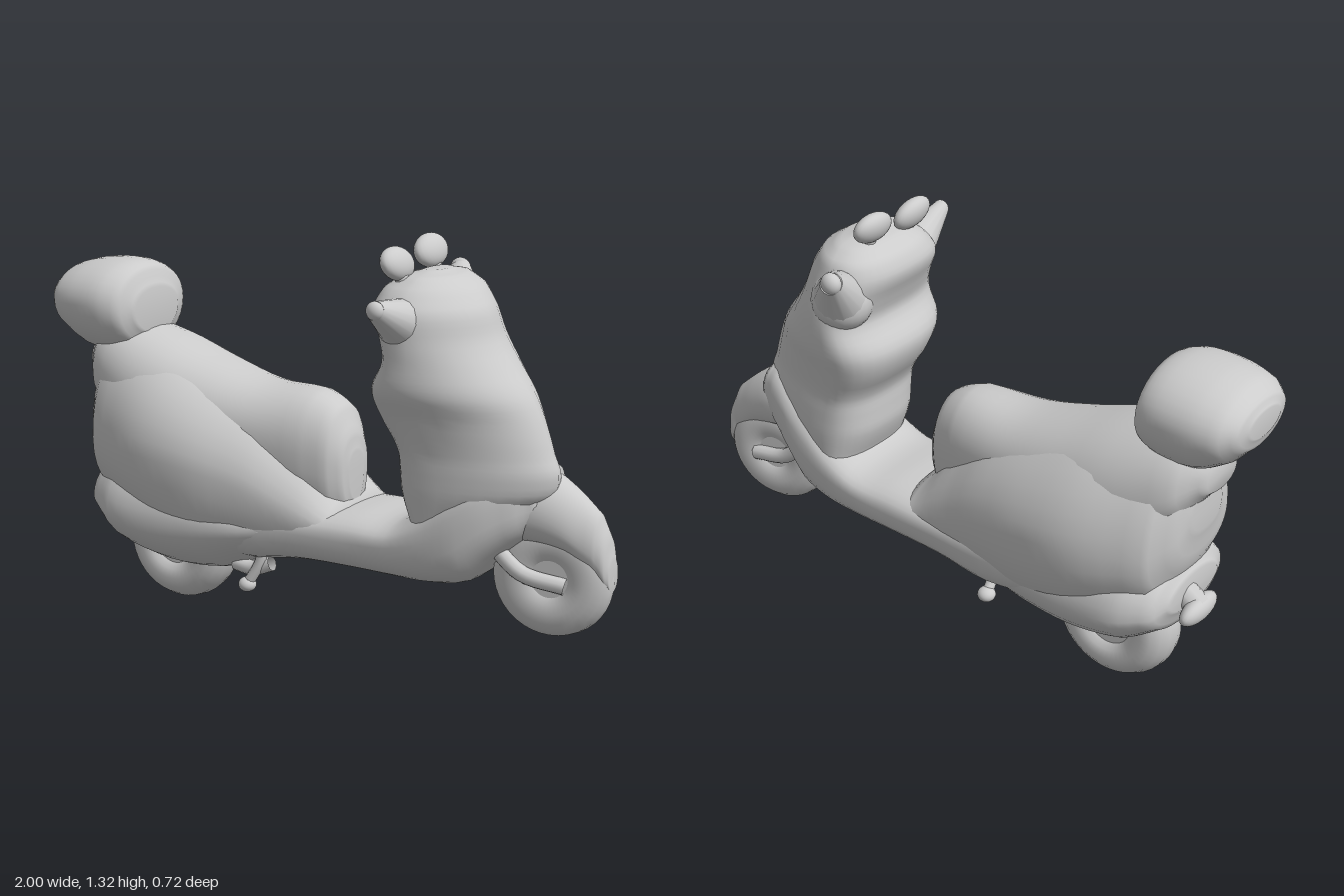
import * as THREE from 'three';

const material = new THREE.MeshStandardMaterial({ color: 0xcccccc, side: THREE.DoubleSide });

function add(group, name, geometry, pos = [0, 0, 0], rot = [0, 0, 0], scale = [1, 1, 1]) {
  const mesh = new THREE.Mesh(geometry, material);
  mesh.name = name;
  mesh.position.set(...pos);
  mesh.rotation.set(...rot);
  mesh.scale.set(...scale);
  group.add(mesh);
  return mesh;
}

// Loft of rounded sections, each [t, low, widest, high, zCentre, halfWidth].
// Along 'x' the section stands in y/z; along 'y' it lies in x/z.
function loft(sections, axis, nLow, nHigh, steps = 4, sides = 32) {
  const rows = [];
  const at = (i) => sections[Math.min(Math.max(i, 0), sections.length - 1)];
  for (let i = 0; i < sections.length - 1; i++) {
    for (let k = 0; k < steps; k++) {
      const u = k / steps;
      rows.push(at(i).map((b, c) => {
        const a = at(i - 1)[c], d = at(i + 1)[c], e = at(i + 2)[c];
        if (c === 0) return b + (d - b) * u;
        return b + 0.5 * u * (d - a + u * (2 * a - 5 * b + 4 * d - e + u * (3 * (b - d) + e - a)));
      }));
    }
  }
  rows.push(at(sections.length - 1));
  const points = [], index = [];
  const put = (t, v, z) => (axis === 'x' ? points.push(t, v, z) : points.push(v, t, z));
  const tri = (a, b, c) => (axis === 'x' ? index.push(a, b, c) : index.push(a, c, b));
  rows.forEach(([t, low, mid, high, zc, hw]) => {
    for (let j = 0; j < sides; j++) {
      const a = (j / sides) * Math.PI * 2, c = Math.cos(a), s = Math.sin(a);
      const p = 2 / (s >= 0 ? nHigh : nLow);
      const v = mid + (s >= 0 ? high - mid : low - mid) * Math.abs(s) ** p;
      put(t, v, zc + hw * Math.sign(c) * Math.abs(c) ** p);
    }
  });
  const last = (rows.length - 1) * sides, first = rows[0], end = rows[rows.length - 1];
  put(first[0], first[2], first[4]);
  put(end[0], end[2], end[4]);
  const cap = rows.length * sides;
  for (let j = 0; j < sides; j++) {
    const n = (j + 1) % sides;
    for (let i = 0; i < last; i += sides) {
      tri(i + j, i + sides + j, i + n);
      tri(i + n, i + sides + j, i + sides + n);
    }
    tri(cap, j, n);
    tri(cap + 1, last + n, last + j);
  }
  const geometry = new THREE.BufferGeometry();
  geometry.setAttribute('position', new THREE.Float32BufferAttribute(points, 3));
  geometry.setIndex(index);
  geometry.computeVertexNormals();
  return geometry;
}

function tube(path, radius) {
  const curve = new THREE.CatmullRomCurve3(path.map((p) => new THREE.Vector3(...p)));
  return new THREE.TubeGeometry(curve, 12, radius, 10);
}

const ball = new THREE.SphereGeometry(1, 24, 16);

// Tapered bar from one point to another
function taper(group, name, from, to, r0, r1) {
  const a = new THREE.Vector3(...from), b = new THREE.Vector3(...to);
  const dir = b.clone().sub(a);
  const mesh = add(group, name, new THREE.CylinderGeometry(r1, r0, dir.length(), 16), a.clone().lerp(b, 0.5).toArray());
  mesh.quaternion.setFromUnitVectors(new THREE.Vector3(0, 1, 0), dir.normalize());
}

// Fat tyre with a shallow dished hub
function wheel(name, radius, thick, pos, yaw) {
  const g = new THREE.Group();
  g.name = name;
  add(g, 'tyre', new THREE.TorusGeometry(radius - 0.08, 0.08, 16, 40), [0, 0, 0], [0, 0, 0], [1, 1, thick / 0.08]);
  add(g, 'hub', new THREE.CylinderGeometry(radius - 0.08, radius - 0.08, thick * 1.5, 28), [0, 0, 0], [Math.PI / 2, 0, 0]);
  g.position.set(...pos);
  g.rotation.y = yaw;
  return g;
}

export function createModel() {
  const model = new THREE.Group();
  model.name = 'scooter';

  // Rear bodywork, engine housing below it and seat on top
  add(model, 'rearBody', loft([
    [-0.84, 0.62, 0.68, 0.78, -0.02, 0.08],
    [-0.82, 0.5, 0.62, 0.86, -0.02, 0.15],
    [-0.76, 0.36, 0.58, 0.92, -0.025, 0.225],
    [-0.55, 0.26, 0.57, 0.9, -0.035, 0.292],
    [-0.35, 0.2, 0.55, 0.83, -0.04, 0.292],
    [-0.15, 0.22, 0.5, 0.74, -0.05, 0.25],
    [0.02, 0.25, 0.42, 0.6, -0.06, 0.21],
    [0.15, 0.26, 0.38, 0.46, -0.07, 0.19],
  ], 'x', 2.2, 1.9));
  add(model, 'engineHousing', loft([
    [-0.82, 0.34, 0.39, 0.45, -0.03, 0.13],
    [-0.79, 0.27, 0.37, 0.5, -0.03, 0.2],
    [-0.68, 0.19, 0.345, 0.55, -0.025, 0.255],
    [-0.5, 0.15, 0.33, 0.55, -0.025, 0.26],
    [-0.33, 0.16, 0.34, 0.52, -0.03, 0.25],
    [-0.2, 0.21, 0.35, 0.48, -0.04, 0.235],
    [-0.08, 0.25, 0.36, 0.44, -0.05, 0.21],
  ], 'x', 1.8, 2));
  add(model, 'seat', loft([
    [-0.88, 0.77, 0.82, 0.88, -0.02, 0.08],
    [-0.8, 0.66, 0.78, 0.96, -0.025, 0.17],
    [-0.6, 0.5, 0.7, 0.925, -0.035, 0.22],
    [-0.4, 0.45, 0.66, 0.86, -0.04, 0.21],
    [-0.2, 0.4, 0.64, 0.81, -0.04, 0.18],
    [0, 0.38, 0.62, 0.805, -0.04, 0.145],
    [0.09, 0.38, 0.6, 0.765, -0.04, 0.115],
    [0.13, 0.42, 0.57, 0.68, -0.04, 0.075],
    [0.14, 0.46, 0.56, 0.62, -0.04, 0.04],
  ], 'x', 2.2, 2.2));

  // Rounded storage box behind the seat
  add(model, 'topBox', loft([
    [-1, 0.99, 1.03, 1.07, -0.01, 0.08],
    [-0.985, 0.95, 1.03, 1.1, -0.01, 0.135],
    [-0.94, 0.9, 1.02, 1.135, -0.01, 0.18],
    [-0.86, 0.85, 1.02, 1.155, -0.01, 0.2],
    [-0.75, 0.84, 1.02, 1.16, -0.01, 0.2],
    [-0.68, 0.87, 1.01, 1.14, -0.015, 0.175],
    [-0.65, 0.92, 1, 1.07, -0.015, 0.11],
  ], 'x', 2, 2.1));

  // Footboard sweeping up behind the front wheel
  add(model, 'footboard', loft([
    [-0.45, 0.26, 0.4, 0.5, -0.045, 0.24],
    [-0.2, 0.23, 0.37, 0.47, -0.055, 0.235],
    [0, 0.255, 0.37, 0.45, -0.065, 0.215],
    [0.2, 0.26, 0.37, 0.455, -0.07, 0.205],
    [0.35, 0.26, 0.38, 0.455, -0.07, 0.205],
    [0.47, 0.26, 0.41, 0.53, -0.07, 0.203],
    [0.58, 0.28, 0.46, 0.62, -0.07, 0.192],
    [0.66, 0.36, 0.52, 0.66, -0.075, 0.17],
    [0.74, 0.43, 0.56, 0.68, -0.085, 0.13],
    [0.8, 0.48, 0.57, 0.66, -0.1, 0.09],
  ], 'x', 2.8, 2.6));

  // Leg shield, wedge shaped in plan, rising into the headset
  add(model, 'legShield', loft([
    [0.43, 0.4, 0.48, 0.58, -0.07, 0.18],
    [0.55, 0.355, 0.48, 0.8, -0.065, 0.188],
    [0.63, 0.35, 0.47, 0.845, -0.06, 0.188],
    [0.7, 0.345, 0.45, 0.825, -0.055, 0.19],
    [0.8, 0.29, 0.42, 0.79, -0.052, 0.215],
    [0.88, 0.275, 0.42, 0.75, -0.045, 0.243],
    [0.97, 0.325, 0.43, 0.68, -0.045, 0.245],
    [1.04, 0.31, 0.43, 0.635, -0.04, 0.24],
    [1.12, 0.28, 0.42, 0.61, -0.03, 0.225],
    [1.18, 0.3, 0.42, 0.565, -0.04, 0.19],
    [1.215, 0.35, 0.43, 0.51, -0.04, 0.135],
    [1.23, 0.4, 0.43, 0.46, -0.04, 0.06],
  ], 'y', 2.5, 1.8));

  // Front mudguard, slightly steered
  add(model, 'frontMudguard', loft([
    [0.68, 0.42, 0.52, 0.62, -0.085, 0.11],
    [0.78, 0.42, 0.53, 0.65, -0.1, 0.1],
    [0.87, 0.4, 0.49, 0.6, -0.115, 0.08],
    [0.95, 0.34, 0.43, 0.53, -0.13, 0.055],
    [0.98, 0.3, 0.38, 0.46, -0.138, 0.045],
    [0.995, 0.29, 0.34, 0.39, -0.143, 0.03],
  ], 'x', 2.2, 2));

  model.add(wheel('frontWheel', 0.19, 0.058, [0.81, 0.315, -0.112], 0.18));
  model.add(wheel('rearWheel', 0.205, 0.09, [-0.575, 0.205, -0.055], 0.05));

  // Fork legs hugging the front wheel
  for (const side of [1, -1]) {
    add(model, 'forkLeg', tube([[0.64, 0.42, -0.085 + side * 0.07], [0.74, 0.33, -0.1 + side * 0.065], [0.87, 0.3, -0.122 + side * 0.05]], 0.026));
  }

  // Plate holder at the tail
  add(model, 'plateHolder', tube([[-0.76, 0.4, -0.05], [-0.82, 0.37, -0.055], [-0.86, 0.35, -0.06]], 0.045));
  add(model, 'plate', ball, [-0.855, 0.35, -0.06], [0, 0, 0.3], [0.035, 0.045, 0.09]);

  // Handlebar grips flaring out of the headset
  const grips = [
    { root: [0.42, 1.09, 0.15], tip: [0.45, 1.155, 0.335], r0: 0.075, r1: 0.028 },
    { root: [0.41, 1.05, -0.2], tip: [0.33, 1.18, -0.335], r0: 0.1, r1: 0.035 },
  ];
  for (const { root, tip, r0, r1 } of grips) {
    taper(model, 'grip', root, tip, r0, r1);
    add(model, 'gripRoot', ball, root, [0, 0, 0], [r0, r0, r0]);
    add(model, 'gripEnd', ball, tip, [0, 0, 0], [r1, r1, r1 * 0.8]);
  }

  // Mirrors
  for (const [z, y, tilt] of [[0.088, 1.252, -0.12], [-0.1, 1.27, 0.1]]) {
    add(model, 'mirror', ball, [0.365, y, z], [tilt, 0, 0.4], [0.036, 0.053, 0.078]);
    add(model, 'mirrorStem', tube([[0.4, 1.15, z * 0.9], [0.385, 1.2, z], [0.37, y, z]], 0.022));
  }

  // Stand legs with feet
  for (const [z, x, y] of [[0.085, -0.205, 0.145], [-0.215, -0.17, 0.185]]) {
    add(model, 'standLeg', tube([[-0.15, 0.28, z * 0.8], [-0.165, 0.22, z * 0.85], [x, y, z]], 0.018));
    add(model, 'standFoot', ball, [x, y, z], [0, 0, 0], [0.03, 0.025, 0.03]);
  }
  add(model, 'standBracket', tube([[-0.27, 0.2, 0.06], [-0.2, 0.195, 0.06], [-0.13, 0.22, 0.05]], 0.025));

  return model;
}
